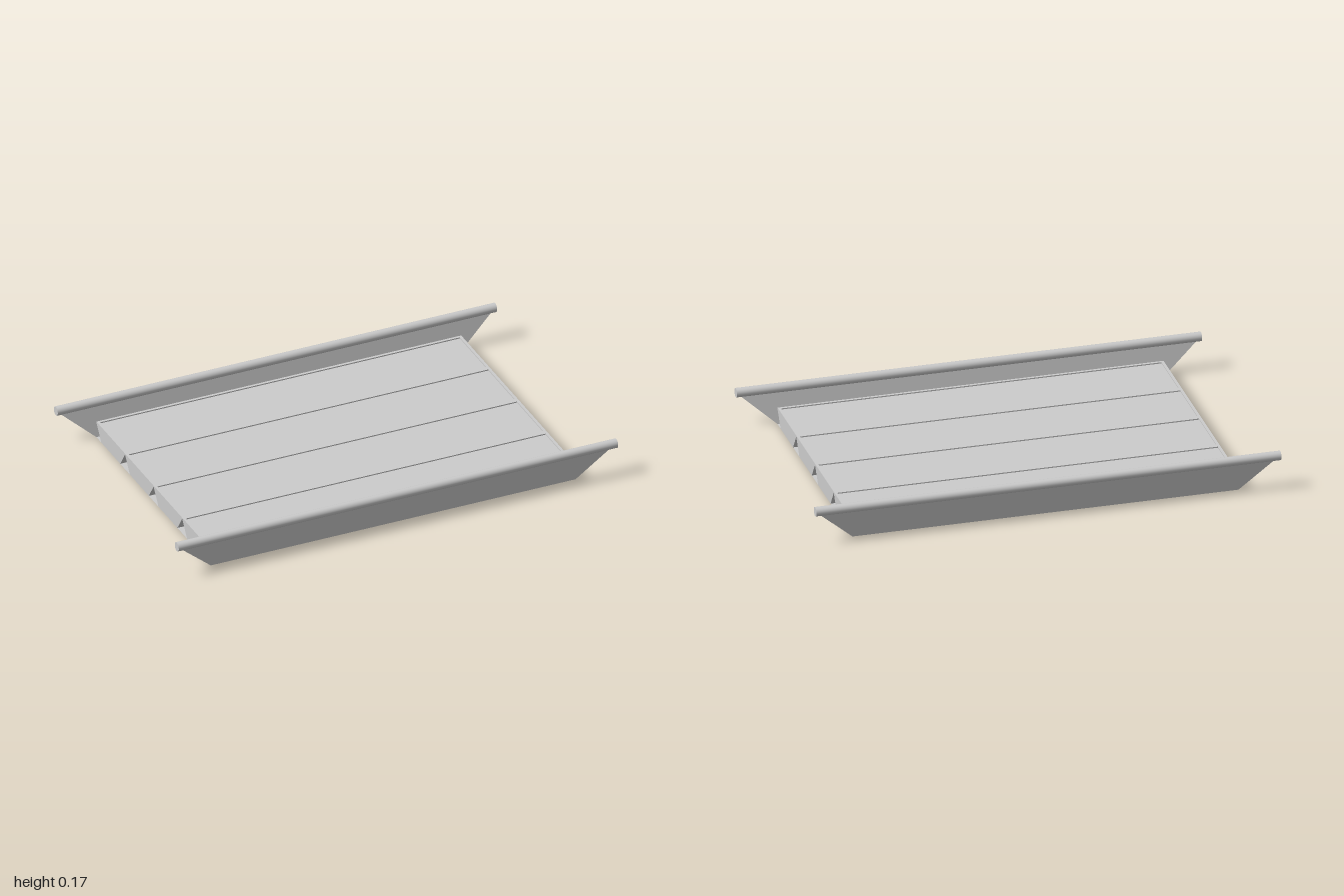
import * as THREE from 'three';

const material = new THREE.MeshStandardMaterial({ color: 0xcccccc, flatShading: true });
const sheetMaterial = new THREE.MeshStandardMaterial({ color: 0xcccccc, flatShading: true, side: THREE.DoubleSide });
const smoothMaterial = new THREE.MeshStandardMaterial({ color: 0xcccccc });

const HALF_FLOOR = 0.83, EDGE_Z = 0.567, RAIL_Z = 0.6, RAIL_Y = 0.15;
const SLAT_COUNT = 4, SLAT_TOP = 0.075, RECESS = 0.005, RIM = 0.012;

function add(parent, name, geometry, mat) {
  const mesh = new THREE.Mesh(geometry, mat);
  mesh.name = name;
  parent.add(mesh);
  return mesh;
}

// Flat sheet from four [x, y, z] corners, listed around its outline
function sheet(corners) {
  const g = new THREE.BufferGeometry();
  g.setAttribute('position', new THREE.Float32BufferAttribute(corners.flat(), 3));
  g.setIndex([0, 1, 2, 0, 2, 3]);
  g.computeVertexNormals();
  return g;
}

// Tapered slat running along x, with a thin raised rim round its top
function createSlat(width) {
  const slat = new THREE.Group();
  slat.name = 'slat';
  const top = width / 2, bottom = top - 0.048, y = SLAT_TOP - RECESS;
  const section = new THREE.Shape([
    new THREE.Vector2(-bottom, 0), new THREE.Vector2(bottom, 0),
    new THREE.Vector2(top, y), new THREE.Vector2(-top, y),
  ]);
  const body = new THREE.ExtrudeGeometry(section, { depth: 2 * HALF_FLOOR, bevelEnabled: false });
  body.translate(0, 0, -HALF_FLOOR).rotateY(Math.PI / 2);
  add(slat, 'slatBody', body, material);

  const rectangle = (Type, hx, hz) => new Type([
    new THREE.Vector2(-hx, -hz), new THREE.Vector2(hx, -hz),
    new THREE.Vector2(hx, hz), new THREE.Vector2(-hx, hz),
  ]);
  const frame = rectangle(THREE.Shape, HALF_FLOOR, top);
  frame.holes.push(rectangle(THREE.Path, HALF_FLOOR - RIM, top - RIM));
  const rim = new THREE.ExtrudeGeometry(frame, { depth: RECESS, bevelEnabled: false });
  rim.rotateX(-Math.PI / 2).translate(0, y, 0);
  add(slat, 'slatRim', rim, material);
  return slat;
}

export function createModel() {
  const model = new THREE.Group();
  model.name = 'tray';

  // Thin base under the slats
  add(model, 'baseSheet', sheet([
    [-HALF_FLOOR, 0, EDGE_Z], [HALF_FLOOR, 0, EDGE_Z],
    [HALF_FLOOR, 0, -EDGE_Z], [-HALF_FLOOR, 0, -EDGE_Z],
  ]), sheetMaterial);

  // Row of slats from back to front
  const width = 2 * EDGE_Z / SLAT_COUNT;
  for (let i = 0; i < SLAT_COUNT; i++) {
    const slat = createSlat(width);
    slat.position.z = -EDGE_Z + (i + 0.5) * width;
    model.add(slat);
  }

  // Flared side panels, each topped by a round rail
  for (const side of [1, -1]) {
    const name = side > 0 ? 'front' : 'back';
    add(model, name + 'Panel', sheet([
      [-HALF_FLOOR, 0, side * EDGE_Z], [HALF_FLOOR, 0, side * EDGE_Z],
      [1, RAIL_Y, side * RAIL_Z], [-1, RAIL_Y, side * RAIL_Z],
    ]), sheetMaterial);
    const rail = add(model, name + 'Rail', new THREE.CylinderGeometry(0.02, 0.02, 2, 24), smoothMaterial);
    rail.rotation.z = Math.PI / 2;
    rail.position.set(0, RAIL_Y, side * RAIL_Z);
  }
  return model;
}
